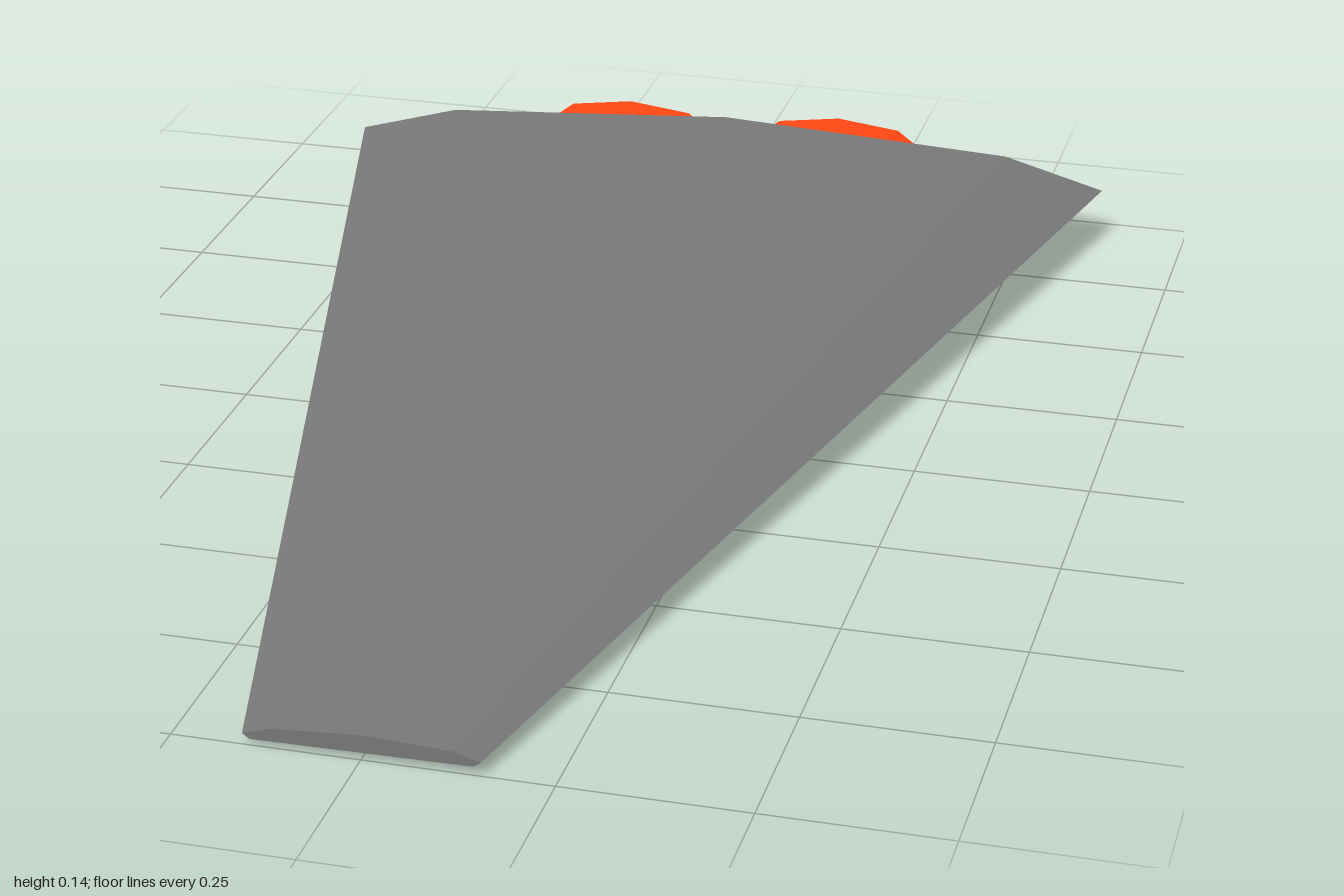
import * as THREE from 'three';

const ROLL = 0.012;    // slight bank of the whole craft
const PITCH = 0.0188;  // slope of the flat belly

// Mirrored cross-section: half profile from belly corner up to the ridge
function section(half, z) {
  const ring = [...half, ...half.slice(0, -1).reverse().map(([x, y]) => [-x, y])];
  return ring.map(([x, y]) => [x, y + ROLL * x, z]);
}

// Faceted solid lofted between two cross-sections
function loft(rear, front) {
  const pos = [];
  const tri = (...corners) => corners.forEach((c) => pos.push(...c));
  const n = rear.length;
  for (let i = 0; i < n; i++) {
    const j = (i + 1) % n;
    tri(rear[i], rear[j], front[j]);
    tri(rear[i], front[j], front[i]);
    if (i > 0 && j > 0) {
      tri(front[0], front[i], front[j]);
      tri(rear[0], rear[j], rear[i]);
    }
  }
  const geo = new THREE.BufferGeometry();
  geo.setAttribute('position', new THREE.Float32BufferAttribute(pos, 3));
  geo.computeVertexNormals();
  return geo;
}

// Belly panel centres, x and z, from stern to nose
const PANELS = [
  [0.24, -0.82], [0.09, -0.8], [-0.14, -0.77], [-0.24, -0.8], [-0.4, -0.79],
  [0.32, -0.6], [0.15, -0.61], [0.02, -0.65], [-0.08, -0.66], [-0.22, -0.6], [-0.34, -0.61],
  [0.34, -0.41], [0.21, -0.44], [0.05, -0.46], [-0.13, -0.51], [-0.27, -0.47],
  [0.06, -0.37], [-0.08, -0.4], [-0.15, -0.31], [-0.27, -0.29],
  [0.25, -0.15], [0.18, -0.23], [0.04, -0.19], [-0.05, -0.29], [-0.13, -0.11], [-0.25, -0.12],
  [0.22, 0.09], [0.18, -0.06], [-0.02, -0.07], [0.02, 0.14], [-0.04, 0.07], [-0.12, 0.07], [-0.22, 0.01],
  [-0.05, 0.26], [-0.15, 0.28], [-0.19, 0.16], [-0.05, 0.4], [-0.12, 0.43],
  [-0.04, 0.54], [-0.11, 0.57], [-0.05, 0.65], [-0.12, 0.71], [-0.06, 0.79], [-0.12, 0.86], [-0.04, 0.93],
];

export function createModel() {
  const model = new THREE.Group();
  model.name = 'wedgeShip';

  const hullMat = new THREE.MeshStandardMaterial({ color: 0x777777, flatShading: true });
  const panelMat = new THREE.MeshStandardMaterial({ color: 0x1a1a2e });
  const engineMat = new THREE.MeshStandardMaterial({ color: 0xff4411, flatShading: true, side: THREE.DoubleSide });

  // Hull: broad stern tapering to a thin blunt nose
  const stern = section([[0.58, 0.0475], [0.618, 0.0735], [0.46, 0.118], [0, 0.145]], -0.94);
  const nose = section([[0.145, 0.011], [0.155, 0.018], [0.118, 0.029], [0, 0.036]], 1);
  const hull = new THREE.Mesh(loft(stern, nose), hullMat);
  hull.name = 'hull';
  model.add(hull);

  // Belly panels: thin plates standing just proud of the sloping underside
  const panels = new THREE.Group();
  panels.name = 'bellyPanels';
  const widths = [0.065, 0.045, 0.055];
  const depths = [0.06, 0.075, 0.04, 0.065];
  PANELS.forEach(([x, z], i) => {
    const geo = new THREE.BoxGeometry(widths[i % 3], 0.012, depths[i % 4]);
    const panel = new THREE.Mesh(geo, panelMat);
    panel.name = 'bellyPanel';
    panel.position.set(x, 0.0258 - PITCH * z + ROLL * x, z);
    panel.rotation.set(PITCH, 0, ROLL);
    panels.add(panel);
  });
  model.add(panels);

  // Engines: flattened open flared nozzles on the stern
  for (const side of [-1, 1]) {
    const geo = new THREE.CylinderGeometry(0.065, 0.139, 0.06, 8, 1, true);
    geo.rotateX(Math.PI / 2);
    geo.scale(1, 0.31, 1);
    const nozzle = new THREE.Mesh(geo, engineMat);
    nozzle.name = side > 0 ? 'leftEngineNozzle' : 'rightEngineNozzle';
    nozzle.position.set(side * 0.175, 0.093 + side * 0.175 * ROLL, -0.97);
    nozzle.rotation.z = ROLL;
    model.add(nozzle);
  }
  return model;
}
